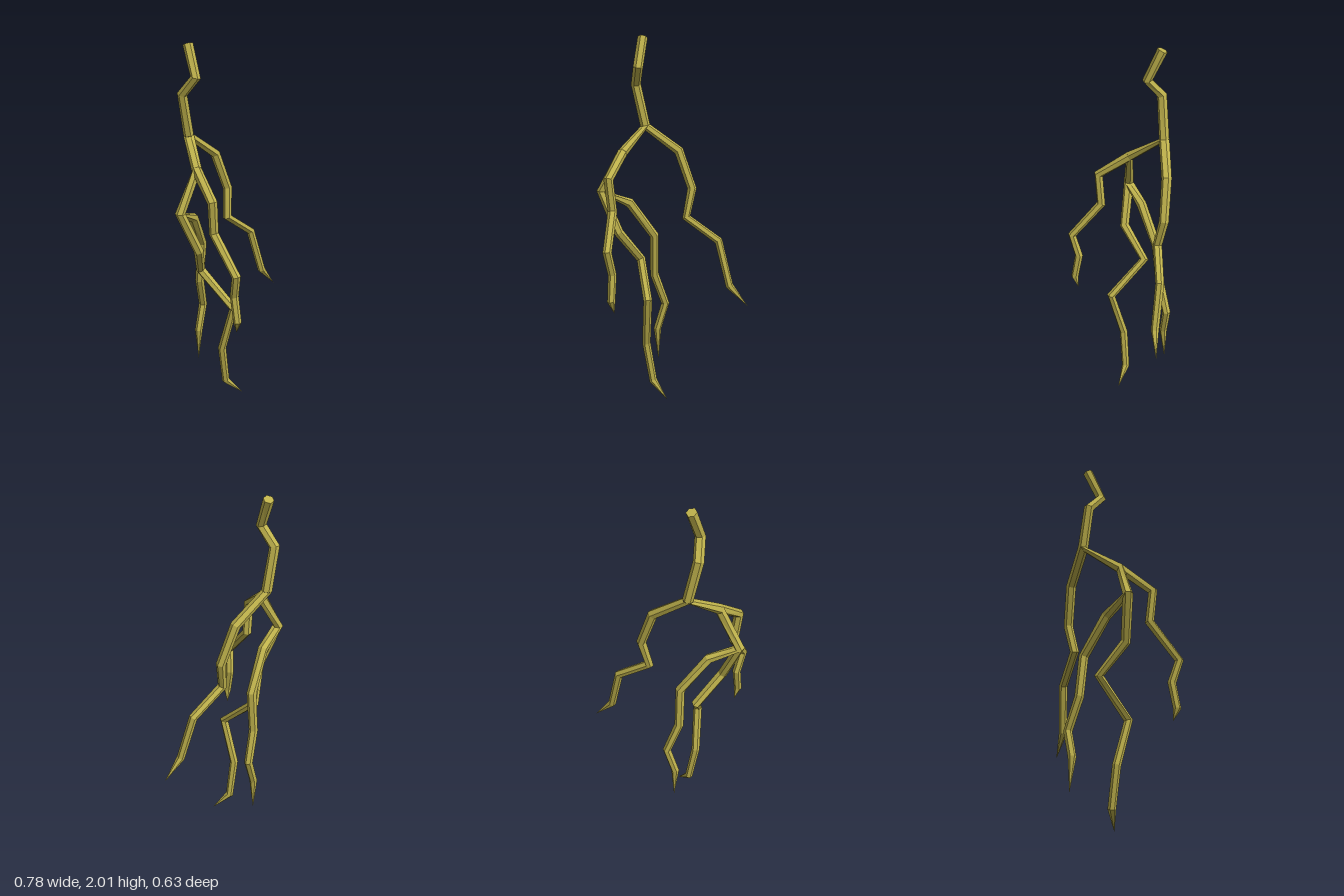
import * as THREE from 'three';

const SIDES = 6;
const material = new THREE.MeshStandardMaterial({ color: 0xbfb24c, flatShading: true });

// Hexagonal limb through the given points, with a mitred ring at every bend.
// startDir sets the tilt of the first ring so that a branch shares its parent's ring.
function limb(name, path, { r0 = 0.029, r1 = 0.022, startDir = null, pointed = true, cap = false }) {
  const pts = path.map((p) => new THREE.Vector3(...p));
  const last = pts.length - 1;
  const dir = (i) => pts[i + 1].clone().sub(pts[i]).normalize();

  const rings = pts.map((p, i) => {
    let t;
    if (i === 0) t = startDir ? new THREE.Vector3(...startDir).normalize() : dir(0);
    else if (i === last) t = dir(last - 1);
    else t = dir(i - 1).add(dir(i)).normalize();
    // one corner of each hexagon looks towards the front
    const u = new THREE.Vector3(0, 0, 1).addScaledVector(t, -t.z).normalize();
    const v = t.clone().cross(u);
    const r = pointed && i === last ? 0 : THREE.MathUtils.lerp(r0, r1, i / Math.max(1, last - 1));
    return Array.from({ length: SIDES }, (_, k) => {
      const a = (k / SIDES) * Math.PI * 2;
      return p.clone().addScaledVector(u, Math.cos(a) * r).addScaledVector(v, Math.sin(a) * r);
    });
  });

  const out = [];
  const tri = (...corners) => corners.forEach((c) => out.push(c.x, c.y, c.z));
  for (let k = 0; k < SIDES; k++) {
    const n = (k + 1) % SIDES;
    for (let i = 0; i < last; i++) {
      const a = rings[i], b = rings[i + 1];
      tri(a[k], a[n], b[k]);
      if (!(pointed && i === last - 1)) tri(a[n], b[n], b[k]);
    }
    if (cap) tri(pts[0], rings[0][n], rings[0][k]);
    if (!pointed) tri(pts[last], rings[last][k], rings[last][n]);
  }
  const geometry = new THREE.BufferGeometry();
  geometry.setAttribute('position', new THREE.Float32BufferAttribute(out, 3));
  geometry.computeVertexNormals();
  const mesh = new THREE.Mesh(geometry, material);
  mesh.name = name;
  return mesh;
}

export function createModel() {
  const group = new THREE.Group();
  group.name = 'forkedBolt';

  // Forks where branches meet
  const fork = [-0.2, 1.51, -0.225];
  const frontFork = [-0.25, 1.37, -0.03];
  const sideFork = [-0.365, 1.155, 0];
  const trunkDir = [0.045, -0.23, -0.025];

  // Trunk
  group.add(limb('trunk', [
    [-0.205, 2, -0.205], [-0.2, 1.835, -0.13], [-0.245, 1.74, -0.2], fork,
  ], { r0: 0.028, r1: 0.028, pointed: false, cap: true }));

  // Long branch towards the left side
  group.add(limb('leftBranch', [
    fork, [-0.015, 1.37, -0.275], [0.063, 1.16, -0.28], [0.043, 1.0, -0.245],
    [0.22, 0.87, -0.293], [0.29, 0.62, -0.285], [0.39, 0.505, -0.313],
  ], { startDir: trunkDir }));

  // Branch reaching forward
  group.add(limb('frontBranch', [
    fork, frontFork, [-0.25, 1.24, 0.147], [-0.235, 1.065, 0.13],
    [-0.19, 0.87, 0.29], [-0.18, 0.745, 0.25], [-0.175, 0.605, 0.275], [-0.168, 0.535, 0.252],
  ], { startDir: trunkDir }));

  // Branch leaving the front branch towards the right and running to the ground
  group.add(limb('lowerBranch', [
    frontFork, sideFork, [-0.26, 0.93, 0], [-0.185, 0.765, -0.13], [-0.07, 0.57, 0.035],
    [-0.108, 0.31, -0.03], [-0.075, 0.092, -0.05], [0.02, 0, -0.027],
  ], { startDir: [-0.03, -0.27, 0.38] }));

  // Branch turning to the back
  group.add(limb('backBranch', [
    sideFork, [-0.24, 1.085, -0.1], [-0.137, 0.89, -0.208], [-0.145, 0.66, -0.228],
    [-0.1, 0.485, -0.28], [-0.14, 0.335, -0.258], [-0.138, 0.15, -0.268],
  ], { startDir: [-0.01, -0.44, 0.03] }));

  return group;
}
